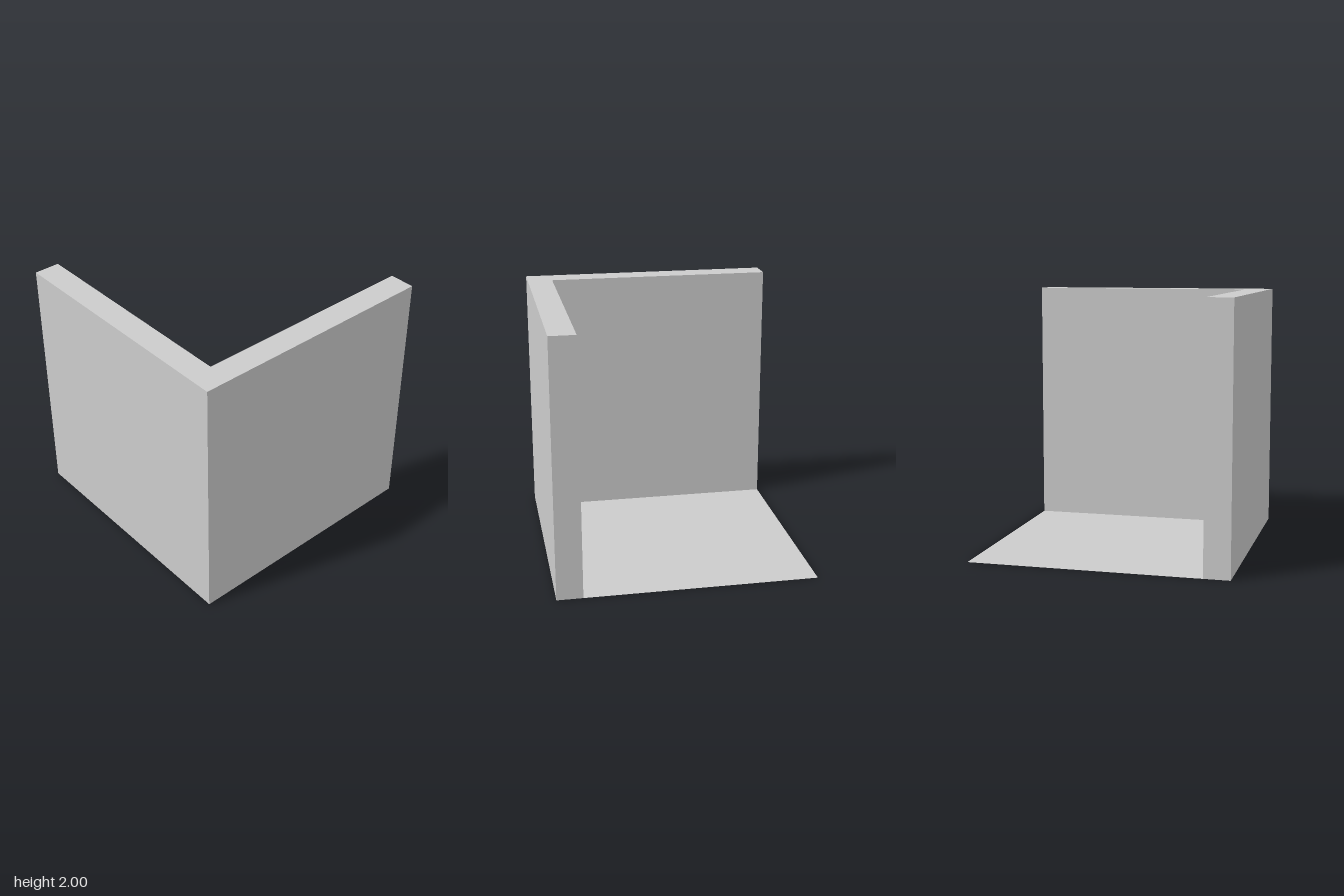
import * as THREE from 'three';

const SIZE = 2, WALL = 0.2;

export function createModel() {
  const model = new THREE.Group();
  const material = new THREE.MeshStandardMaterial({ color: 0xcccccc, flatShading: true });
  const h = SIZE / 2, inner = h - WALL;

  // Two walls meeting at the front left corner, as one L-shaped plan (shape y = -z)
  const plan = new THREE.Shape([
    [-h, -h], [h, -h], [h, h], [inner, h], [inner, -inner], [-h, -inner],
  ].map(([x, y]) => new THREE.Vector2(x, y)));
  const wallGeometry = new THREE.ExtrudeGeometry(plan, { depth: SIZE, bevelEnabled: false });
  wallGeometry.rotateX(-Math.PI / 2);
  const walls = new THREE.Mesh(wallGeometry, material);
  walls.name = 'cornerWalls';
  model.add(walls);

  // Paper-thin floor filling the space between the walls
  const floorMaterial = material.clone();
  floorMaterial.side = THREE.DoubleSide;
  const floorGeometry = new THREE.PlaneGeometry(SIZE - WALL, SIZE - WALL).rotateX(-Math.PI / 2);
  const floor = new THREE.Mesh(floorGeometry, floorMaterial);
  floor.name = 'floor';
  floor.position.set(-WALL / 2, 0, -WALL / 2);
  model.add(floor);

  return model;
}
